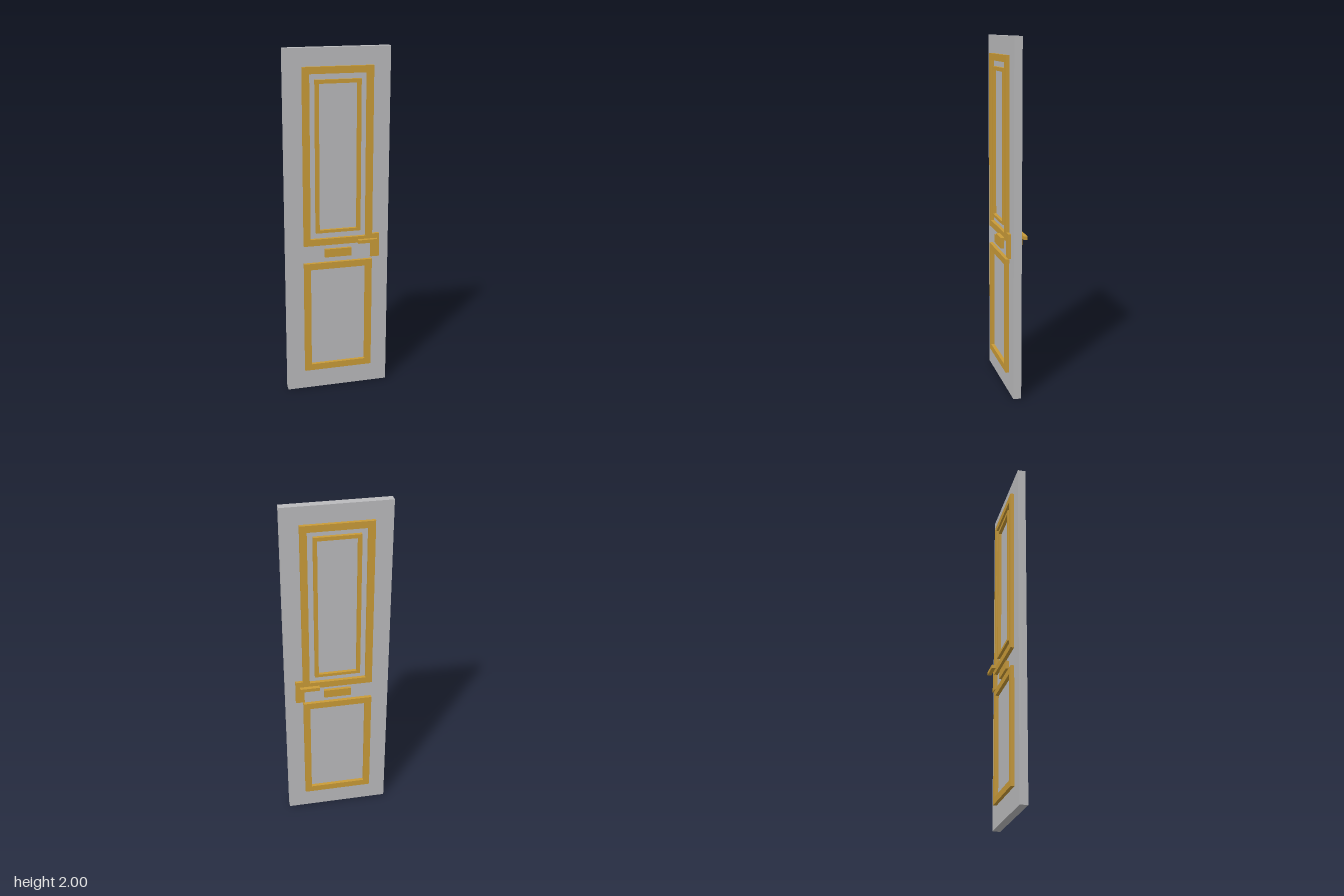
import * as THREE from 'three';

const gold = new THREE.MeshStandardMaterial({ color: 0xc99b38 });
gold.name = 'gold';
const grey = new THREE.MeshStandardMaterial({ color: 0xbababc });
grey.name = 'grey';

const FACE = 0.0225; // half thickness of the door slab

// Box given by its limits
function box(name, material, x0, x1, y0, y1, z0, z1) {
  const mesh = new THREE.Mesh(new THREE.BoxGeometry(x1 - x0, y1 - y0, z1 - z0), material);
  mesh.position.set((x0 + x1) / 2, (y0 + y1) / 2, (z0 + z1) / 2);
  mesh.name = name;
  return mesh;
}

// Rectangular moulding with an open centre
function frame(name, halfWidth, y0, y1, border, bottomBorder, depth) {
  const rect = (Type, w, a, b) => new Type([
    new THREE.Vector2(-w, a), new THREE.Vector2(w, a),
    new THREE.Vector2(w, b), new THREE.Vector2(-w, b),
  ]);
  const shape = rect(THREE.Shape, halfWidth, y0, y1);
  shape.holes.push(rect(THREE.Path, halfWidth - border, y0 + bottomBorder, y1 - border));
  const geometry = new THREE.ExtrudeGeometry(shape, { depth: depth - FACE, bevelEnabled: false });
  const mesh = new THREE.Mesh(geometry, gold);
  mesh.position.z = FACE;
  mesh.name = name;
  return mesh;
}

// Mouldings and fittings of one face; mirror = -1 keeps the handle on +x at the back
function faceFittings(name, mirror) {
  const side = new THREE.Group();
  side.name = name;
  const x = (a, b) => (mirror > 0 ? [a, b] : [-b, -a]);
  side.add(
    frame('upperFrame', 0.2, 0.894, 1.9, 0.038, 0.038, 0.0425),
    frame('upperInnerFrame', 0.13, 0.967, 1.83, 0.021, 0.017, 0.0415),
    frame('lowerFrame', 0.2, 0.788, 0.12, 0.038, 0.038, 0.0425).clone(),
  );
  side.remove(side.children[2]);
  side.add(
    frame('lowerFrame', 0.2, 0.12, 0.788, 0.038, 0.038, 0.0425),
    box('letterPlate', gold, -0.078, 0.078, 0.819, 0.867, FACE, 0.04),
    box('lockPlate', gold, ...x(0.193, 0.243), 0.802, 0.941, FACE, 0.04),
    box('handle', gold, ...x(0.109, 0.221), 0.898, 0.918, 0.0545, 0.077),
  );
  if (mirror < 0) side.rotation.y = Math.PI;
  return side;
}

export function createModel() {
  const door = new THREE.Group();
  door.name = 'door';
  door.add(
    box('doorSlab', grey, -0.3, 0.3, 0, 2, -FACE, FACE),
    faceFittings('frontFittings', 1),
    faceFittings('backFittings', -1),
  );
  return door;
}
